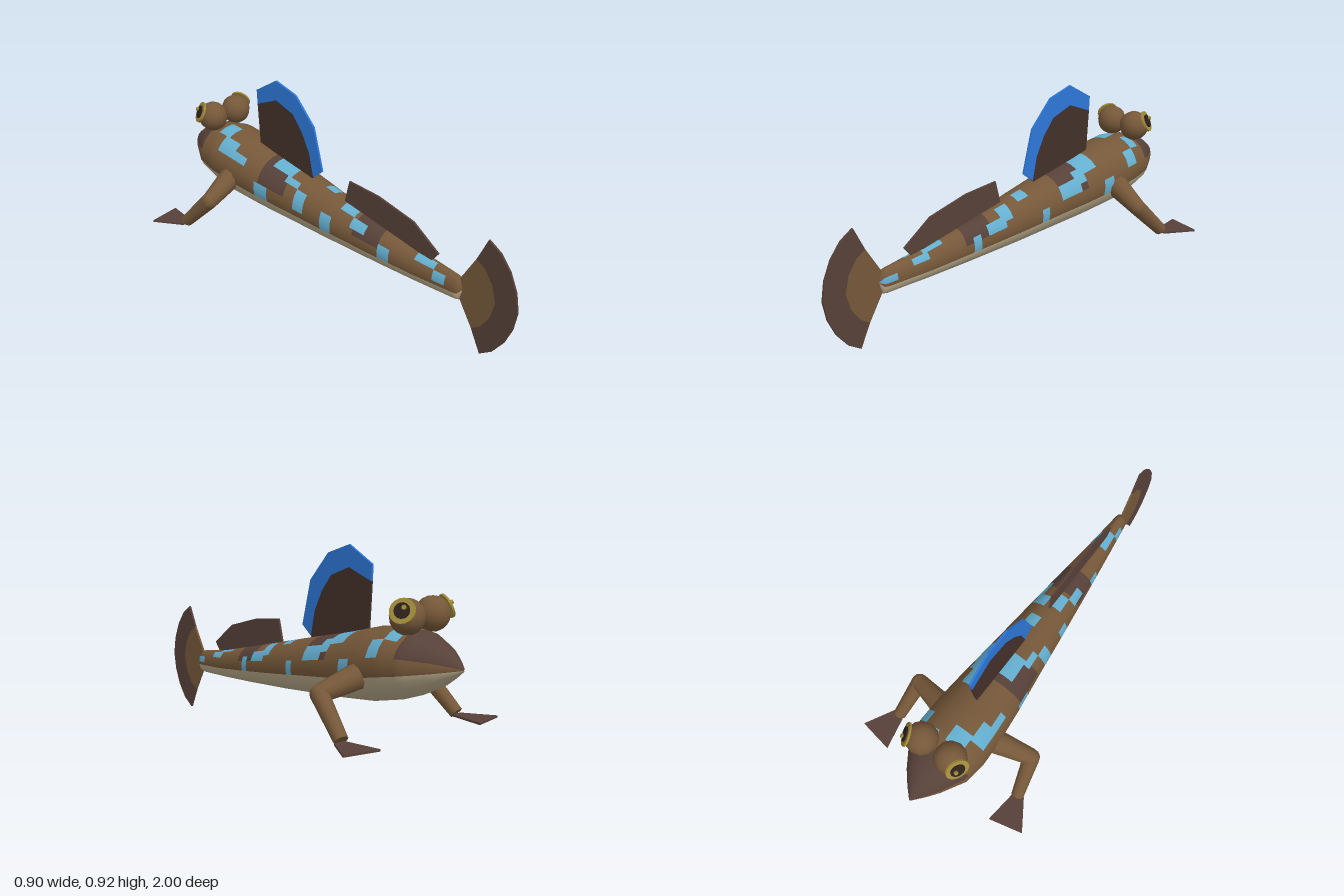
import * as THREE from 'three';

const mat = (name, color, side = THREE.FrontSide) => {
  const m = new THREE.MeshStandardMaterial({ color, side });
  m.name = name;
  return m;
};

export function createModel() {
  const brown = mat('skin brown', 0x765839);
  const dark = mat('dark brown', 0x574139);
  const cream = mat('belly cream', 0xb9aa8a);
  const spot = mat('spot blue', 0x64aecf);
  const blue = mat('fin edge blue', 0x2d78d8);
  const finDark = mat('fin dark', 0x443029);
  const gold = mat('eye gold', 0xa08a3a);
  const pupilMat = mat('pupil', 0x2e211c);

  const model = new THREE.Group();
  const add = (name, geo, material, parent = model) => {
    const m = new THREE.Mesh(geo, material);
    m.name = name;
    parent.add(m);
    return m;
  };

  // Body sections: z, half width, bottom y, top y
  const sections = [
    [-1, 0.003, 0.485, 0.492], [-0.95, 0.05, 0.445, 0.535], [-0.9, 0.09, 0.41, 0.57],
    [-0.8, 0.153, 0.36, 0.612], [-0.7, 0.17, 0.325, 0.626], [-0.58, 0.167, 0.298, 0.61],
    [-0.4, 0.152, 0.28, 0.565], [-0.2, 0.13, 0.265, 0.522], [0, 0.11, 0.25, 0.477],
    [0.3, 0.078, 0.234, 0.41], [0.5, 0.055, 0.226, 0.365], [0.71, 0.031, 0.221, 0.335],
    [0.73, 0.026, 0.23, 0.325], [0.735, 0.001, 0.277, 0.279],
  ];
  const sectionAt = (z) => {
    let k = 0;
    while (k < sections.length - 2 && z > sections[k + 1][0]) k++;
    const a = sections[k], b = sections[k + 1], t = (z - a[0]) / (b[0] - a[0]);
    return a.map((v, i) => THREE.MathUtils.lerp(v, b[i], t));
  };

  // Spots: side, z, elevation in degrees, half length, half angle
  const spots = [
    [1, 0.7, 15, 0.03, 16], [1, 0.54, 43, 0.035, 18], [1, 0.47, 72, 0.045, 18],
    [1, 0.26, 5, 0.03, 19], [1, 0.15, 30, 0.045, 16], [1, 0.09, 50, 0.03, 18],
    [1, -0.02, 78, 0.03, 16], [1, -0.12, 5, 0.03, 17], [1, -0.27, 30, 0.06, 14],
    [1, -0.35, 45, 0.04, 16], [1, -0.41, 70, 0.04, 20], [1, -0.51, 5, 0.035, 17],
    [1, -0.67, 27, 0.03, 16], [1, -0.73, 60, 0.04, 16],
    [-1, -0.53, 37, 0.045, 14], [-1, -0.61, 51, 0.05, 14], [-1, -0.68, 73, 0.04, 18],
    [-1, -0.27, 73, 0.06, 17], [-1, -0.2, 52, 0.045, 14], [-1, -0.13, 25, 0.035, 18],
    [-1, 0.12, 72, 0.04, 18], [-1, 0.2, 48, 0.045, 18], [-1, 0.55, 65, 0.045, 22],
    [-1, -0.36, 5, 0.035, 17], [-1, 0.35, 8, 0.035, 18], [-1, 0.03, 8, 0.03, 17],
    [-1, 0.64, 20, 0.03, 20],
  ];
  const palette = [brown, dark, cream, spot];
  const colourOf = (z, theta) => {
    const side = Math.cos(theta) > 0 ? 1 : -1;
    const e = THREE.MathUtils.radToDeg(Math.asin(Math.sin(theta)));
    if (e < -15) return 2;
    if (spots.some(([s, sz, se, dz, de]) => s === side && Math.abs(z - sz) < dz && Math.abs(e - se) < de)) return 3;
    if (z < -0.77 && e > 8) return 1;
    if (((z > -0.38 && z < -0.21) || (z > 0.17 && z < 0.33)) && e > 13) return 1;
    return 0;
  };

  // Lofted body, its cells sorted into colour groups
  const sides = 24;
  const zs = Array.from({ length: 87 }, (_, i) => -1 + i * 0.02).concat(0.735);
  const pos = [];
  for (const z of zs) {
    const [, w, lo, hi] = sectionAt(z);
    for (let j = 0; j < sides; j++) {
      const a = (j / sides) * Math.PI * 2;
      pos.push(w * Math.cos(a), (lo + hi) / 2 + ((hi - lo) / 2) * Math.sin(a), z);
    }
  }
  const cells = palette.map(() => []);
  for (let i = 0; i < zs.length - 1; i++) {
    for (let j = 0; j < sides; j++) {
      const n = (j + 1) % sides;
      const a = i * sides + j, b = i * sides + n, c = a + sides, d = b + sides;
      cells[colourOf((zs[i] + zs[i + 1]) / 2, ((j + 0.5) / sides) * Math.PI * 2)].push(a, b, c, b, d, c);
    }
  }
  const bodyGeo = new THREE.BufferGeometry();
  bodyGeo.setAttribute('position', new THREE.Float32BufferAttribute(pos, 3));
  bodyGeo.setIndex(cells.flat());
  let start = 0;
  cells.forEach((c, i) => {
    bodyGeo.addGroup(start, c.length, i);
    start += c.length;
  });
  bodyGeo.computeVertexNormals();
  add('body', bodyGeo, palette);

  // Thin upright fins, outlined in (z, y)
  const fin = (name, pts, material) => {
    const shape = new THREE.Shape(pts.map(([z, y]) => new THREE.Vector2(z, y)));
    const geo = new THREE.ExtrudeGeometry(shape, { depth: 0.01, bevelEnabled: false });
    geo.translate(0, 0, -0.005).rotateY(-Math.PI / 2);
    return add(name, geo, material);
  };

  const sailInner = [[-0.14, 0.515], [-0.165, 0.63], [-0.21, 0.72], [-0.27, 0.795], [-0.38, 0.835], [-0.512, 0.785]];
  const sailOuter = [[-0.515, 0.855], [-0.38, 0.93], [-0.25, 0.89], [-0.135, 0.765], [-0.105, 0.65], [-0.082, 0.56]];
  fin('frontDorsalFin', [...sailInner, [-0.5, 0.57], [-0.16, 0.49]], finDark);
  fin('frontDorsalFinEdge', [...sailInner, ...sailOuter], blue);
  fin('rearDorsalFin', [[0.6, 0.395], [0.56, 0.345], [0.06, 0.45], [0.09, 0.567], [0.26, 0.55], [0.46, 0.497]], dark);

  const upperOuter = [[0.84, 0.555], [0.9, 0.515], [0.95, 0.45], [0.985, 0.37]];
  const upperInner = [[0.79, 0.45], [0.835, 0.42], [0.875, 0.36]];
  const mirrorY = (pts) => pts.map(([z, y]) => [z, 0.565 - y]).reverse();
  const tailOuter = [...upperOuter, [1, 0.2825], ...mirrorY(upperOuter)];
  const tailInner = [...upperInner, [0.895, 0.2825], ...mirrorY(upperInner)];
  fin('tailFin', [[0.71, 0.315], ...tailInner, [0.71, 0.25]], brown);
  fin('tailFinEdge', [...tailOuter, ...[...tailInner].reverse()], dark);

  // Tapered limb between two points
  const up = new THREE.Vector3(0, 1, 0);
  const limb = (name, a, b, ra, rb, parent) => {
    const dir = b.clone().sub(a);
    const m = add(name, new THREE.CylinderGeometry(rb, ra, dir.length(), 10), brown, parent);
    m.position.copy(a).addScaledVector(dir, 0.5);
    m.quaternion.setFromUnitVectors(up, dir.normalize());
  };

  for (const s of [1, -1]) {
    const label = s > 0 ? 'left' : 'right';

    // Walking fins
    const arm = new THREE.Group();
    arm.name = label + 'Arm';
    model.add(arm);
    const shoulder = new THREE.Vector3(s * 0.1, 0.435, -0.59);
    const elbow = new THREE.Vector3(s * 0.31, 0.365, -0.54);
    const wrist = new THREE.Vector3(s * 0.337, 0.215, -0.695);
    limb('upperArm', shoulder, elbow, 0.06, 0.039, arm);
    limb('forearm', elbow, wrist, 0.039, 0.03, arm);
    add('elbow', new THREE.SphereGeometry(0.039, 10, 8), brown, arm).position.copy(elbow);
    const hand = new THREE.Shape([[0.318, 0.69], [0.368, 0.69], [0.45, 0.825], [0.29, 0.857]]
      .map(([x, z]) => new THREE.Vector2(s * x, z)));
    const handGeo = new THREE.ExtrudeGeometry(hand, { depth: 0.009, bevelEnabled: false });
    handGeo.rotateX(-Math.PI / 2).translate(0, 0.201, 0);
    add('hand', handGeo, dark, arm);

    // Bulging eyes with outward-facing discs
    const eye = new THREE.Group();
    eye.name = label + 'Eye';
    eye.position.set(s * 0.073, 0.673, -0.775);
    model.add(eye);
    add('eyeball', new THREE.SphereGeometry(0.072, 12, 10), brown, eye);
    const look = new THREE.Vector3(s * 0.82, 0.42, -0.38).normalize();
    const disc = (name, r, offset, material) => {
      const m = add(name, new THREE.CylinderGeometry(r, r, 0.009, 16), material, eye);
      m.position.copy(look).multiplyScalar(offset);
      m.quaternion.setFromUnitVectors(up, look);
      return m;
    };
    disc('iris', 0.052, 0.067, gold);
    disc('pupil', 0.032, 0.073, pupilMat);
    const glint = disc('glint', 0.009, 0.077, gold);
    glint.position.add(new THREE.Vector3(0, 0.012, -0.012));
  }
  return model;
}
